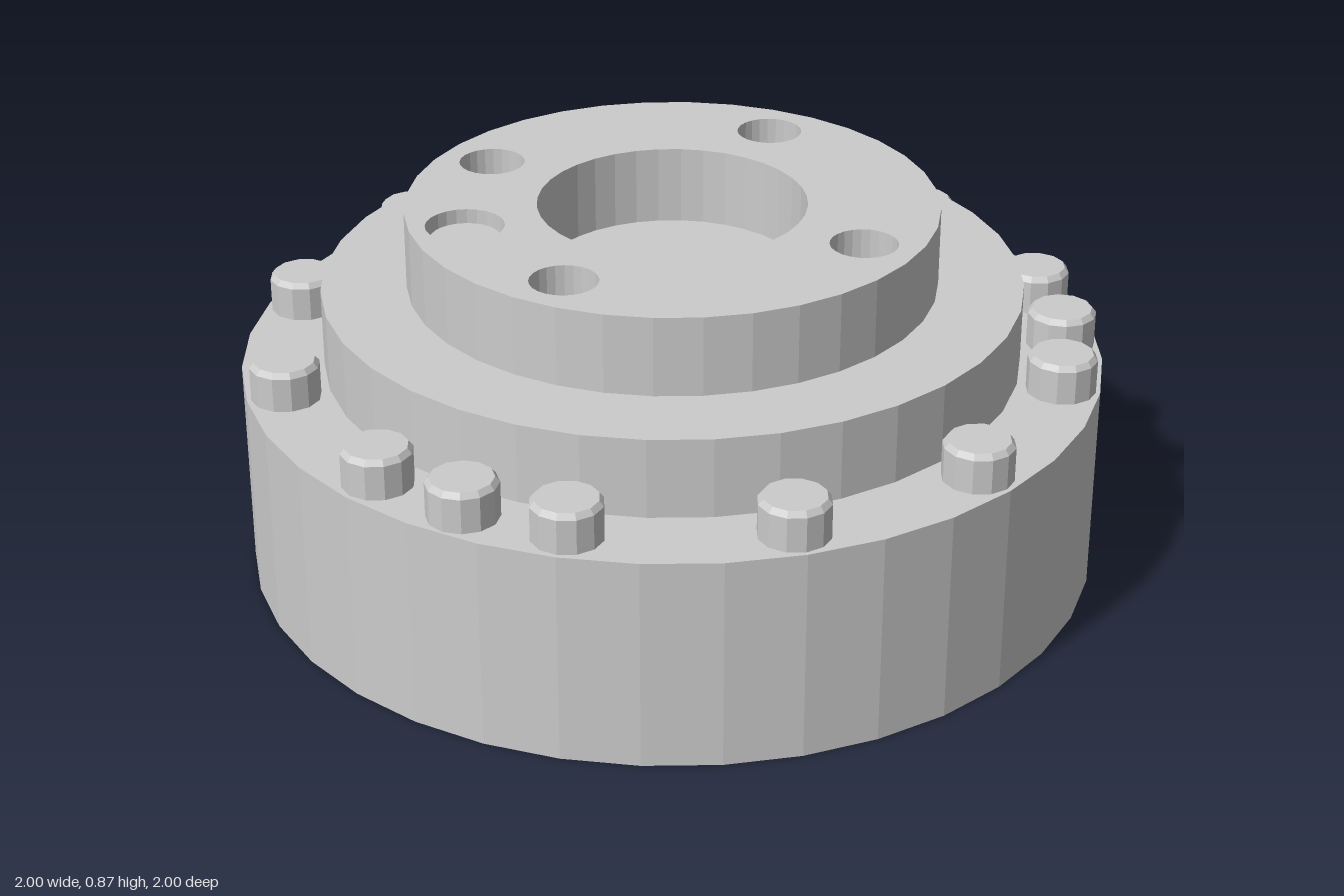
import * as THREE from 'three';

const material = new THREE.MeshStandardMaterial({ color: 0xcccccc, flatShading: true });
const BASE_TOP = 0.495, STEP_TOP = 0.68, BOSS_TOP = 0.865;

function add(parent, name, geometry, x = 0, z = 0) {
  const mesh = new THREE.Mesh(geometry, material);
  mesh.name = name;
  mesh.position.set(x, 0, z);
  parent.add(mesh);
  return mesh;
}

// Revolve [radius, y] pairs; rising profiles face outward, falling ones inward
function turned(points, sides) {
  return new THREE.LatheGeometry(points.map(([r, y]) => new THREE.Vector2(r, y)), sides);
}

function circle(r, x, y, sides) {
  return Array.from({ length: sides }, (_, i) => {
    const a = (i / sides) * Math.PI * 2;
    return new THREE.Vector2(x + r * Math.cos(a), y + r * Math.sin(a));
  });
}

// Flat disc at height y pierced by holes, facing up or down
function piercedDisc(radius, holes, y, up) {
  const shape = new THREE.Shape(circle(radius, 0, 0, 36));
  for (const h of holes) {
    shape.holes.push(new THREE.Path(circle(h.r, h.x, up ? -h.z : h.z, h.sides)));
  }
  return new THREE.ShapeGeometry(shape).rotateX(up ? -Math.PI / 2 : Math.PI / 2).translate(0, y, 0);
}

export function createModel() {
  const group = new THREE.Group();
  group.name = 'flangeHub';

  // Stepped outer wall
  add(group, 'steppedBody', turned([
    [1, 0], [1, BASE_TOP], [0.81, BASE_TOP], [0.81, STEP_TOP], [0.613, STEP_TOP], [0.613, BOSS_TOP],
  ], 36));

  // Top face with central recess, four screw holes and one pin hole
  const topHoles = [
    { name: 'topRecess', r: 0.31, x: 0, z: 0, sides: 36 },
    { name: 'pinHole', r: 0.09, x: -0.485, z: 0, sides: 24 },
  ];
  for (const x of [-0.343, 0.343]) {
    for (const z of [-0.343, 0.343]) topHoles.push({ name: 'screwHole', r: 0.077, x, z, sides: 24 });
  }
  add(group, 'topFace', piercedDisc(0.613, topHoles, BOSS_TOP, true));
  for (const h of topHoles) {
    add(group, h.name, turned([[h.r, BOSS_TOP], [h.r, STEP_TOP], [0, STEP_TOP]], h.sides), h.x, h.z);
  }

  // Locating pin sunk just below the top face
  add(group, 'locatingPin', turned([[0.08, STEP_TOP], [0.08, 0.835], [0, 0.835]], 24), -0.485, 0);

  // Underside with blind centre bore and two small holes
  const bottomHoles = [
    { name: 'bottomBore', r: 0.31, x: 0, z: 0, sides: 36, depth: 0.31 },
    { name: 'dowelHole', r: 0.04, x: 0.91, z: 0, sides: 12, depth: 0.25 },
    { name: 'dowelHole', r: 0.04, x: -0.91, z: 0, sides: 12, depth: 0.25 },
  ];
  add(group, 'bottomFace', piercedDisc(1, bottomHoles, 0, false));
  for (const h of bottomHoles) {
    add(group, h.name, turned([[0, h.depth], [h.r, h.depth], [h.r, 0]], h.sides), h.x, h.z);
  }

  // Chamfered bolt heads: twelve evenly spaced plus three in between
  const boltHead = turned([[0.08, BASE_TOP], [0.08, 0.575], [0.07, 0.588], [0, 0.588]], 12);
  const angles = Array.from({ length: 12 }, (_, i) => i * 30).concat([15, 135, 255]);
  for (const degrees of angles) {
    const a = THREE.MathUtils.degToRad(degrees);
    add(group, 'boltHead', boltHead, 0.91 * Math.cos(a), 0.91 * Math.sin(a)).rotation.y = -a;
  }

  return group;
}
